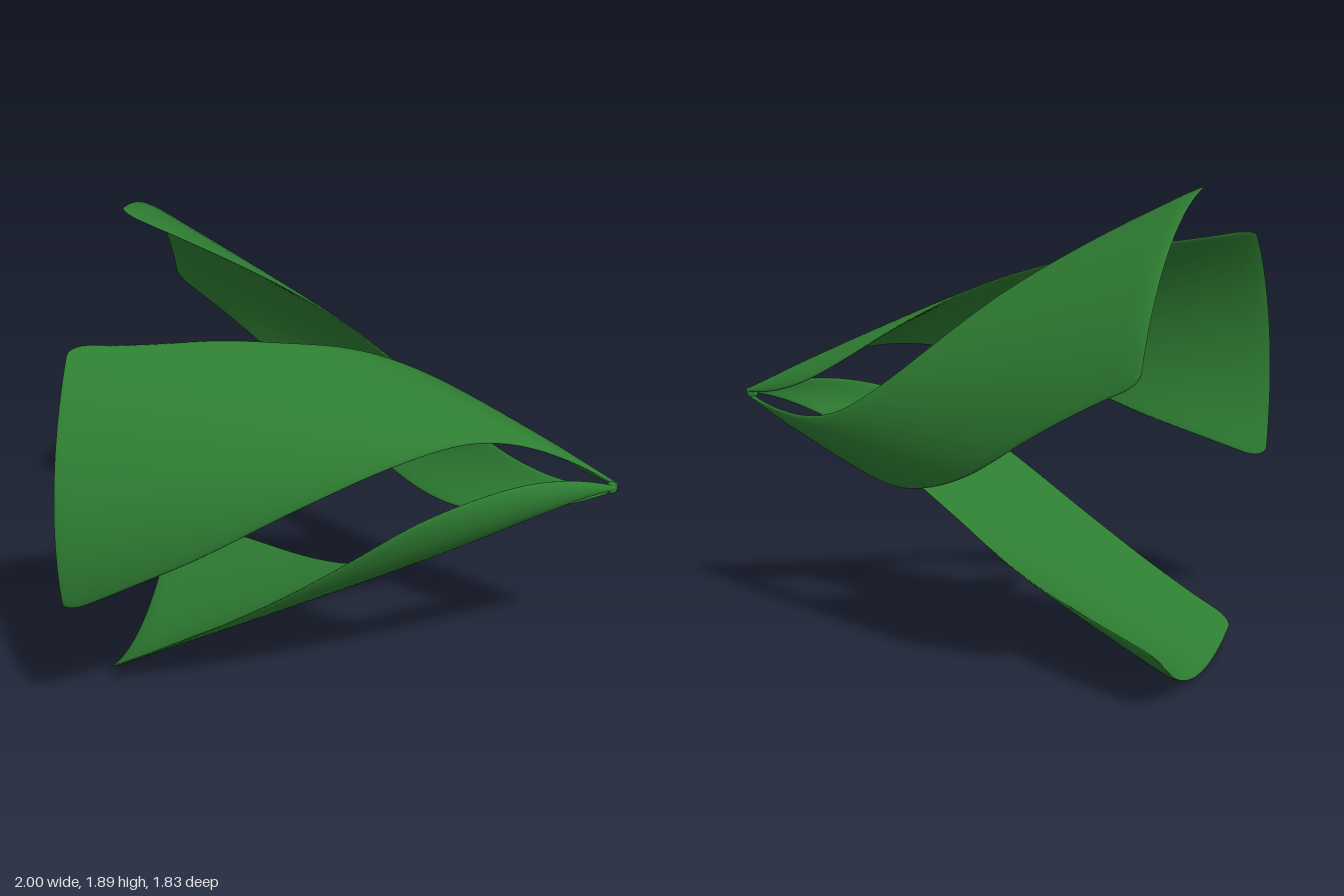
import * as THREE from 'three';

// Edge angles in degrees at nine even steps from the nose to the open end of the cone
const blades = [
  { name: 'lowerBlade', turn: 0,
    lead: [135, 116, 96, 79, 61, 47, 37, 30, 26], trail: [72, 52, 33, 14, -1, -16, -28, -36, -40] },
  { name: 'backBlade', turn: -120,
    lead: [135, 114, 97, 78, 58, 41, 26, 16, 10], trail: [72, 52, 32, 9, -12, -30, -42, -50, -55] },
  { name: 'frontBlade', turn: -240,
    lead: [140, 124, 102, 79, 60, 43, 32, 23, 18], trail: [72, 50, 27, 3, -15, -28, -38, -44, -48] },
];

const CENTRE_Y = 0.955;
const centreZ = (s) => 0.04 - 0.076 * s;

const curveOf = (angles) =>
  new THREE.SplineCurve(angles.map((a, i) => new THREE.Vector2(i / (angles.length - 1), a)));

// A curved blade lying on the cone, with a lens-shaped cross-section
function bladeGeometry({ turn, lead, trail }) {
  const leadCurve = curveOf(lead), trailCurve = curveOf(trail);
  const rings = 72, around = 40;
  const positions = [], indices = [];
  for (let i = 0; i <= rings; i++) {
    // closer rings at the open end, where the corners are rounded
    const s = i <= 60 ? (i / 60) * 0.96 : 0.96 + 0.04 * Math.sin(((i - 60) / 12) * Math.PI / 2);
    const toEnd = Math.min(1, (1 - s) / 0.04);
    const round = Math.sqrt(Math.max(0, 1 - (1 - toEnd) ** 2));
    const a = leadCurve.getPoint(s).y, b = trailCurve.getPoint(s).y;
    const mid = (a + b) / 2 + turn;
    const half = (a - b) / 2 - 3 * (1 - round);
    const radius = 0.008 + 0.939 * s;
    const thick = Math.min(0.015, 0.008 + 0.06 * s) * round;
    for (let j = 0; j < around; j++) {
      const p = (j / around) * Math.PI * 2;
      const theta = THREE.MathUtils.degToRad(mid + half * Math.cos(p));
      const bulge = Math.sign(Math.sin(p)) * Math.abs(Math.sin(p)) ** 0.8;
      const r = radius + thick * bulge;
      positions.push(1 - 2 * s, CENTRE_Y - r * Math.cos(theta), centreZ(s) + r * Math.sin(theta));
    }
  }
  for (let i = 0; i < rings; i++) {
    for (let j = 0; j < around; j++) {
      const k = (j + 1) % around;
      const p = i * around + j, q = i * around + k;
      indices.push(p, p + around, q, q, p + around, q + around);
    }
  }
  const geometry = new THREE.BufferGeometry();
  geometry.setAttribute('position', new THREE.Float32BufferAttribute(positions, 3));
  geometry.setIndex(indices);
  geometry.computeVertexNormals();
  return geometry;
}

export function createModel() {
  const group = new THREE.Group();
  group.name = 'spiralRotor';
  const green = new THREE.MeshStandardMaterial({ color: 0x2e7d32 });

  for (const blade of blades) {
    const mesh = new THREE.Mesh(bladeGeometry(blade), green);
    mesh.name = blade.name;
    group.add(mesh);
  }

  // Small rounded nose joining the three blades
  const nose = new THREE.Mesh(new THREE.SphereGeometry(0.024, 20, 14), green);
  nose.name = 'nose';
  nose.position.set(0.976, CENTRE_Y - 0.003, centreZ(0));
  group.add(nose);
  return group;
}
